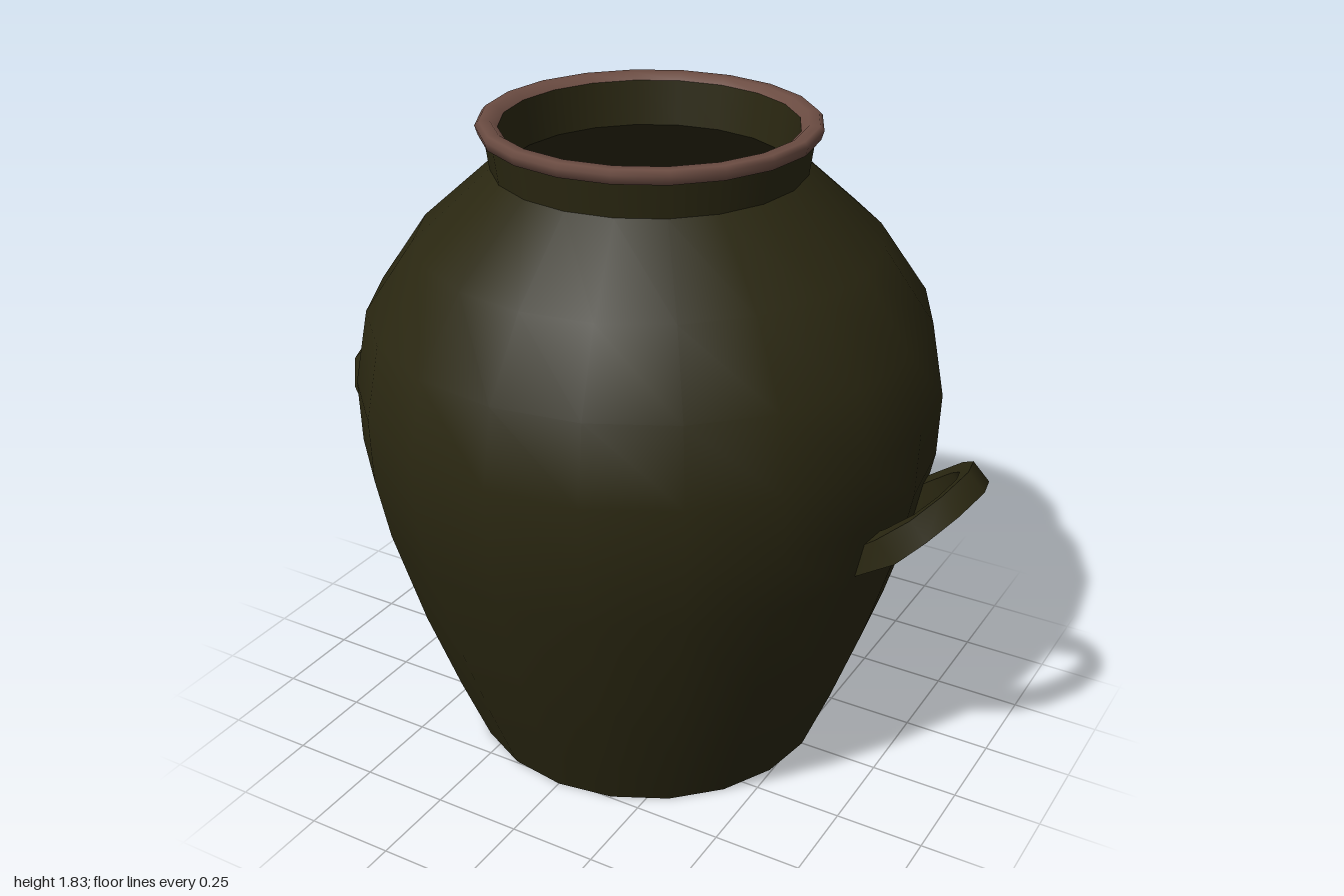
import * as THREE from 'three';
import { toCreasedNormals } from 'three/addons/utils/BufferGeometryUtils.js';

const SIDES = 20;

const glaze = new THREE.MeshStandardMaterial({ color: 0x2a2711 });
glaze.name = 'dark olive glaze';
const clay = new THREE.MeshStandardMaterial({ color: 0x6b4c42 });
clay.name = 'bare clay';

// Mesh turned around the y axis from [radius, height] points
function turned(name, points, material) {
  const profile = points.map(([r, y]) => new THREE.Vector2(r, y));
  const mesh = new THREE.Mesh(new THREE.LatheGeometry(profile, SIDES), material);
  mesh.name = name;
  return mesh;
}

// Tilted loop handle on the +x side: a four-cornered section swept along an arch
function handleGeometry() {
  // [outer u, outer z, inner u, inner z, bottom n, top n], from foot to tip
  const half = [
    [-0.03, 0.22, -0.03, 0.145, 0.03, 0.1],
    [0.1, 0.215, 0.1, 0.148, 0, 0.08],
    [0.2, 0.185, 0.185, 0.13, 0, 0.07],
    [0.275, 0.11, 0.24, 0.08, 0, 0.068],
    [0.312, 0, 0.268, 0, 0, 0.068],
  ];
  const mirrored = half.slice(0, -1).reverse()
    .map(([ou, oz, iu, iz, lo, hi]) => [ou, -oz, iu, -iz, lo, hi]);
  const rings = [...half, ...mirrored];

  const positions = [];
  const index = [];
  const s = Math.SQRT1_2;
  const add = (u, n, z) => positions.push(0.78 + (u - n) * s, 0.76 + (u + n) * s, z);
  rings.forEach(([ou, oz, iu, iz, lo, hi], i) => {
    add(ou, lo, oz);
    add(ou, hi, oz);
    add(iu, hi, iz);
    add(iu, lo, iz);
    if (i === rings.length - 1) return;
    for (let k = 0; k < 4; k++) {
      const a = i * 4 + k;
      const b = i * 4 + (k + 1) % 4;
      index.push(a, a + 4, b + 4, a, b + 4, b);
    }
  });
  // Foot ends
  const e = (rings.length - 1) * 4;
  index.push(0, 1, 2, 0, 2, 3, e, e + 2, e + 1, e, e + 3, e + 2);

  const geometry = new THREE.BufferGeometry();
  geometry.setAttribute('position', new THREE.Float32BufferAttribute(positions, 3));
  geometry.setIndex(index);
  return toCreasedNormals(geometry, 0.8);
}

export function createModel() {
  const jar = new THREE.Group();
  jar.name = 'jar';

  // Unglazed underside
  jar.add(turned('base', [[0, 0], [0.52, 0]], clay));

  // Outer wall and neck, with a crease between them
  jar.add(turned('body', [
    [0.52, 0], [0.6, 0.2], [0.69, 0.45], [0.775, 0.74], [0.81, 0.92],
    [0.815, 1.1], [0.775, 1.31], [0.637, 1.51], [0.425, 1.7],
  ], glaze));
  jar.add(turned('neck', [[0.425, 1.7], [0.438, 1.795]], glaze));

  // Rounded clay rim
  jar.add(turned('rim', [
    [0.435, 1.79], [0.452, 1.795], [0.46, 1.82], [0.449, 1.832], [0.42, 1.832], [0.4, 1.815],
  ], clay));

  // Hollow inside
  jar.add(turned('innerNeck', [[0.4, 1.815], [0.385, 1.69]], glaze));
  jar.add(turned('innerWall', [
    [0.385, 1.69], [0.6, 1.49], [0.735, 1.29], [0.775, 1.1],
    [0.77, 0.92], [0.735, 0.74], [0.65, 0.45], [0.56, 0.2], [0.49, 0.05],
  ], glaze));
  jar.add(turned('innerFloor', [[0.49, 0.05], [0, 0.05]], glaze));

  // A handle on each side
  const geometry = handleGeometry();
  [['leftHandle', 0], ['rightHandle', Math.PI]].forEach(([name, turn]) => {
    const handle = new THREE.Mesh(geometry, glaze);
    handle.name = name;
    handle.rotation.y = turn;
    jar.add(handle);
  });

  return jar;
}
